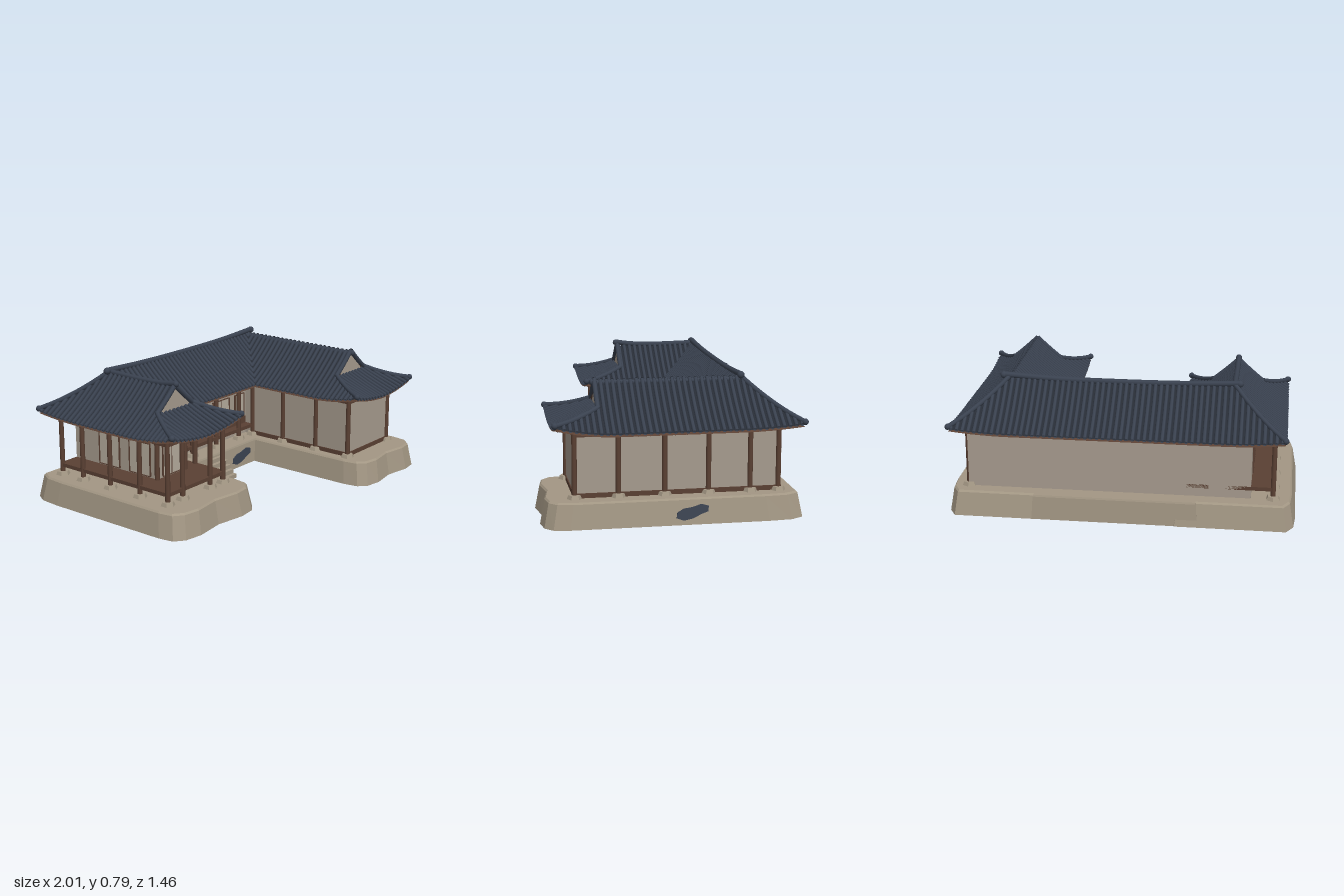
import * as THREE from 'three';
import { mergeGeometries } from 'three/addons/utils/BufferGeometryUtils.js';

const V = (x, y, z) => new THREE.Vector3(x, y, z);

export function createModel() {
  const model = new THREE.Group();
  const material = (name, color, extra = {}) => {
    const m = new THREE.MeshStandardMaterial({ color, ...extra });
    m.name = name;
    return m;
  };
  const D = { side: THREE.DoubleSide };
  const tile = material('roof tile', 0x3a4250, D);
  const pan = material('roof pan', 0x272c35, D);
  const wood = material('timber', 0x5a4033, D);
  const plaster = material('plaster', 0xa69b8e, D);
  const paper = material('door paper', 0xb5ab9d);
  const stone = material('stone', 0xa39784, { side: THREE.DoubleSide, flatShading: true });
  const floorWood = material('dark floor', 0x3a2b23);

  const add = (name, geo, mat, x = 0, y = 0, z = 0) => {
    const m = new THREE.Mesh(geo, mat);
    m.name = name;
    m.position.set(x, y, z);
    model.add(m);
    return m;
  };
  // box given by its two corners
  const box = (name, mat, x0, x1, y0, y1, z0, z1) =>
    add(name, new THREE.BoxGeometry(x1 - x0, y1 - y0, z1 - z0), mat, (x0 + x1) / 2, (y0 + y1) / 2, (z0 + z1) / 2);
  const tube = (pts, r, sides = 6, segs = 4) =>
    new THREE.TubeGeometry(new THREE.CatmullRomCurve3(pts), segs, r, sides, false);

  // ---- Stone platforms: hollow, tapering, with a small top bevel
  const platform = (name, pts, insetX, insetZ) => {
    const xs = pts.map(p => p[0]), zs = pts.map(p => p[1]);
    const x0 = Math.min(...xs), x1 = Math.max(...xs), z0 = Math.min(...zs), z1 = Math.max(...zs);
    const cx = (x0 + x1) / 2, cz = (z0 + z1) / 2;
    const n = pts.length, pos = [], idx = [];
    [[0, 0], [0.135, 0.85], [0.145, 1.15]].forEach(([y, k]) => pts.forEach(([x, z]) => pos.push(
      cx + (x - cx) * (1 - k * insetX * 2 / (x1 - x0)), y, cz + (z - cz) * (1 - k * insetZ * 2 / (z1 - z0)))));
    for (let r = 0; r < 2; r++) for (let i = 0; i < n; i++) {
      const a = r * n + i, b = r * n + (i + 1) % n;
      idx.push(a, b, b + n, a, b + n, a + n);
    }
    const top = pts.map((p, i) => new THREE.Vector2(pos[(2 * n + i) * 3], pos[(2 * n + i) * 3 + 2]));
    THREE.ShapeUtils.triangulateShape(top, []).forEach(f => idx.push(f[0] + 2 * n, f[2] + 2 * n, f[1] + 2 * n));
    const g = new THREE.BufferGeometry();
    g.setAttribute('position', new THREE.Float32BufferAttribute(pos, 3));
    g.setIndex(idx);
    g.computeVertexNormals();
    add(name, g, stone);
  };
  const wavy = (x0, x1, z0, z1) => {
    const at = (f, dz) => [x0 + (x1 - x0) * f, z1 - dz];
    return [[x0 + 0.05, z0], [x0 + 0.01, z0 + 0.07], [x0, z0 + 0.2], [x0, z1 - 0.15], [x0 + 0.015, z1 - 0.06],
      at(0.1, 0.015), at(0.25, 0), at(0.5, 0.025), at(0.75, 0), at(0.9, 0.015),
      [x1 - 0.015, z1 - 0.06], [x1, z1 - 0.15], [x1, z0 + 0.2], [x1 - 0.01, z0 + 0.07], [x1 - 0.05, z0]].reverse();
  };
  platform('rightWingPlatform', wavy(-1, -0.27, -0.715, 0.435), 0.028, 0.03);
  platform('leftWingPlatform', wavy(0.36, 1, -0.71, 0.735), 0.025, 0.03);
  platform('hallPlatform', [[-0.45, -0.11], [0.5, -0.11], [0.5, -0.71], [-0.45, -0.71]], 0.01, 0.01);

  // steps up to the hall
  for (let i = 0; i < 5; i++) box('step', stone, -0.1, 0.04, i * 0.025, (i + 1) * 0.025, -0.12, -i * 0.024);

  // dark patches on the platform walls
  const patchShape = new THREE.Shape([[-0.09, -0.03], [-0.05, -0.045], [0, -0.035], [0.05, -0.012], [0.085, 0],
    [0.09, 0.03], [0.05, 0.042], [0, 0.027], [-0.05, 0.02], [-0.085, 0]].map(p => new THREE.Vector2(...p)));
  [[0.993, 0.07, -0.08, Math.PI / 2, -0.19], [0.225, 0.07, -0.11, 0, -0.07], [-0.279, 0.07, -0.32, Math.PI / 2, -0.2]]
    .forEach(([x, y, z, ry, rx]) => {
      const p = add('wallPatch', new THREE.ExtrudeGeometry(patchShape, { depth: 0.006, bevelEnabled: false }), tile, x, y, z);
      p.rotation.set(rx, ry, 0, 'YXZ');
    });

  // ---- Walls, floors and beams
  box('hallWalls', plaster, -0.745, 0.885, 0.146, 0.54, -0.6, -0.25);
  box('leftWingWalls', plaster, 0.445, 0.885, 0.146, 0.535, -0.6, 0.55);
  box('rightWingRoom', plaster, -0.745, -0.505, 0.146, 0.54, -0.6, 0.05);
  box('rightWingVeranda', wood, -0.88, -0.38, 0.195, 0.217, -0.6, 0.25);
  box('hallVeranda', wood, -0.39, 0.44, 0.195, 0.217, -0.26, -0.19);
  box('hallSill', wood, -0.39, 0.44, 0.217, 0.262, -0.25, -0.244);
  box('leftWingSide sill', wood, 0.88, 0.891, 0.146, 0.172, -0.6, 0.55);
  box('leftWingFront sill', wood, 0.445, 0.885, 0.146, 0.172, 0.545, 0.556);
  box('leftWingInner sill', wood, 0.439, 0.446, 0.146, 0.172, -0.2, 0.55);
  box('undersideFloor', floorWood, 0.46, 0.87, 0.136, 0.141, -0.02, 0.52);
  box('undersideFloor', floorWood, 0.3, 0.7, 0.136, 0.141, -0.6, -0.25);
  const beamX = (x0, x1, z) => box('beam', wood, x0, x1, 0.485, 0.515, z - 0.01, z + 0.01);
  const beamZ = (x, z0, z1) => box('beam', wood, x - 0.01, x + 0.01, 0.485, 0.515, z0, z1);
  beamX(-0.87, -0.39, 0.24); beamX(-0.39, 0.44, -0.2); beamX(0.44, 0.885, 0.55);
  beamX(-0.87, 0.885, -0.6);
  beamZ(-0.87, -0.6, 0.24); beamZ(-0.39, -0.2, 0.24); beamZ(0.445, -0.2, 0.55); beamZ(0.885, -0.6, 0.55);

  // ---- Posts on hexagonal footing stones
  const posts = [];
  [0.24, 0.03, -0.2, -0.42, -0.59].forEach(z => posts.push([-0.87, z]));
  [-0.745, -0.505, -0.39].forEach(x => posts.push([x, 0.24]));
  [[-0.39, 0.03], [-0.745, 0.05], [-0.505, 0.05]].forEach(p => posts.push(p));
  [-0.39, -0.145, 0.085, 0.31].forEach(x => posts.push([x, -0.2]));
  [0.55, 0.31, 0.055, -0.19, -0.425, -0.585].forEach(z => posts.push([0.885, z]));
  [0.55, 0.31, 0.055, -0.19].forEach(z => posts.push([0.445, z]));
  posts.forEach(([x, z]) => {
    add('post', new THREE.CylinderGeometry(0.014, 0.015, 0.38, 10), wood, x, 0.335, z);
    add('footing', new THREE.CylinderGeometry(0.034, 0.043, 0.022, 6), stone, x, 0.155, z);
  });

  // ---- Paper doors with timber frames
  const door = (x, z, w, y0, y1, turn = 0) => {
    const g = new THREE.Group(), h = y1 - y0, part = (sx, sy, mat, px, py, d) => {
      const m = new THREE.Mesh(new THREE.BoxGeometry(sx, sy, d), mat);
      m.position.set(px, py, d / 2);
      g.add(m);
    };
    part(w, h, paper, 0, 0, 0.004);
    [-1, 1].forEach(s => {
      part(0.007, h, wood, s * w / 2, 0, 0.008);
      part(w, 0.005, wood, 0, s * h / 2, 0.008);
    });
    part(0.004, h, wood, 0, 0, 0.007);
    g.name = 'door';
    g.position.set(x, (y0 + y1) / 2, z);
    g.rotation.y = turn;
    model.add(g);
  };
  door(-0.27, -0.25, 0.2, 0.27, 0.48);
  door(-0.035, -0.25, 0.16, 0.265, 0.42);
  door(0.19, -0.25, 0.16, 0.265, 0.42);
  door(0.375, -0.25, 0.09, 0.265, 0.42);
  door(-0.625, 0.05, 0.15, 0.225, 0.42);
  [-0.08, -0.32].forEach(z => door(-0.745, z, 0.16, 0.225, 0.42, -Math.PI / 2));
  door(-0.505, -0.09, 0.16, 0.225, 0.42, Math.PI / 2);

  // ---- Roof surface: sagging profile by distance from the ridge, lifted at the corners
  const corners = [[-0.93, -0.71, 0.02], [0.965, -0.71, 0.02], [-0.93, 0.33, 0.045], [-0.33, 0.33, 0.045],
    [0.365, 0.66, 0.045], [0.965, 0.66, 0.045]];
  const roofY = (x, z, d) => corners.reduce((y, [cx, cz, k]) =>
    y + k * Math.max(0, 1 - Math.hypot(x - cx, z - cz) / 0.35) ** 2, 0.745 - 0.96 * d + 0.55 * d * d);
  const EAVE = 0.3, RZ = -0.41, L = -0.63, R = 0.665, STEP = 0.0335, SEG = 5;

  // one slope: a runs along the eave, span(a) gives where it starts and ends below the ridge
  const slope = (name, a0, a1, span, map) => {
    const n = Math.round((a1 - a0) / STEP), tiles = [], rafters = [];
    const point = (a, d, dy) => {
      const [x, z] = map(a, d);
      return V(x, roofY(x, z, d) + dy, z);
    };
    const row = (a, s, e, dy) => Array.from({ length: SEG }, (_, k) => point(a, s + (e - s) * k / (SEG - 1), dy));
    const sheet = dy => {
      const pos = [], idx = [];
      for (let i = 0; i <= n; i++) {
        const a = a0 + (a1 - a0) * i / n, [s, e] = span(a);
        row(a, s, Math.max(s, e), dy).forEach(p => pos.push(p.x, p.y, p.z));
        for (let k = 0; i < n && k < SEG - 1; k++) {
          const q = i * SEG + k;
          idx.push(q, q + 1, q + SEG + 1, q, q + SEG + 1, q + SEG);
        }
      }
      const g = new THREE.BufferGeometry();
      g.setAttribute('position', new THREE.Float32BufferAttribute(pos, 3));
      g.setIndex(idx);
      g.computeVertexNormals();
      return g;
    };
    for (let i = 0; i < n; i++) {
      const a = a0 + (a1 - a0) * (i + 0.5) / n, [s, e] = span(a);
      if (e - s < 0.012) continue;
      tiles.push(tube(row(a, s, e + 0.004, 0.005), 0.0115));
      if (i % 2 && e === EAVE && s < 0.27) rafters.push(tube(row(a, Math.max(s, 0.18), e - 0.012, -0.02), 0.007, 5, 2));
    }
    add(name + ' pans', sheet(0), pan);
    add(name + ' soffit', sheet(-0.013), wood);
    add(name + ' tiles', mergeGeometries(tiles), tile);
    if (rafters.length) add(name + ' rafters', mergeGeometries(rafters), wood);
  };

  slope('hallBackRoof', L - EAVE, R + EAVE, x => [Math.max(0, L - x, x - R), EAVE], (x, d) => [x, RZ - d]);
  slope('hallFrontRoof', L, R, x => [0, Math.min(EAVE, x - L, R - x)], (x, d) => [x, RZ + d]);

  // ridge and hip rolls
  const roll = (name, pts, r) => add(name, tube(pts, r, 8, 12), tile);
  const knob = (x, y, z, r) => add('ridgeEnd', new THREE.SphereGeometry(r, 10, 8), tile, x, y, z);
  const hip = (cx, z0, d0, sx, z1) => {
    const pts = [0, 1, 2, 3, 4].map(k => {
      const d = d0 + (EAVE - d0) * k / 4, x = cx + sx * d, z = z0 + (z1 - z0) * k / 4;
      return V(x, roofY(x, z, d) + 0.014, z);
    });
    roll('hipRidge', pts, 0.014);
    knob(pts[4].x, pts[4].y, pts[4].z, 0.018);
  };

  // wings: two long sides, front skirt, gable and verges
  const wing = (name, cx, out, zg, z1) => {
    const depth = z1 - zg, half = EAVE / 2;
    const start = z => z > zg ? half + (z - zg) * half / depth : 0;
    slope(name + 'OuterRoof', RZ - EAVE, z1, z => [Math.max(start(z), RZ - z), EAVE], (z, d) => [cx + out * d, z]);
    slope(name + 'InnerRoof', RZ, z1, z => [start(z), Math.min(EAVE, z - RZ)], (z, d) => [cx - out * d, z]);
    slope(name + 'FrontRoof', cx - EAVE, cx + EAVE, x => [Math.max(half, Math.abs(x - cx)), EAVE],
      (x, d) => [x, zg + (d - half) / half * depth]);
    const gable = new THREE.Shape([[-half, 0.605], [half, 0.605], [0, 0.745]].map(p => new THREE.Vector2(...p)));
    add(name + 'Gable', new THREE.ShapeGeometry(gable), plaster, cx, 0, zg - 0.004);
    [-1, 1].forEach(s => {
      roll('verge', [0, 0.05, 0.1, half].map(d => V(cx + s * d, roofY(cx, 0, d) + 0.012, zg)), 0.014);
      hip(cx, zg, half, s, z1);
    });
    hip(cx, RZ, 0, out, RZ - EAVE);
  };
  wing('rightWing', L, -1, 0.09, 0.33);
  wing('leftWing', R, 1, 0.41, 0.66);

  roll('hallRidge', [V(-0.66, 0.765, RZ), V(-0.35, 0.752, RZ), V(0.02, 0.748, RZ), V(0.4, 0.752, RZ), V(0.705, 0.768, RZ)], 0.017);
  roll('rightWingRidge', [V(L, 0.752, RZ), V(L, 0.748, -0.15), V(L, 0.754, 0), V(L, 0.768, 0.1)], 0.016);
  roll('leftWingRidge', [V(R, 0.735, RZ), V(R, 0.735, 0), V(R, 0.738, 0.42)], 0.014);
  knob(0.7, 0.765, RZ, 0.021);
  knob(-0.66, 0.762, RZ, 0.02);
  knob(L, 0.765, 0.1, 0.018);
  knob(R, 0.742, 0.42, 0.018);

  return model;
}
